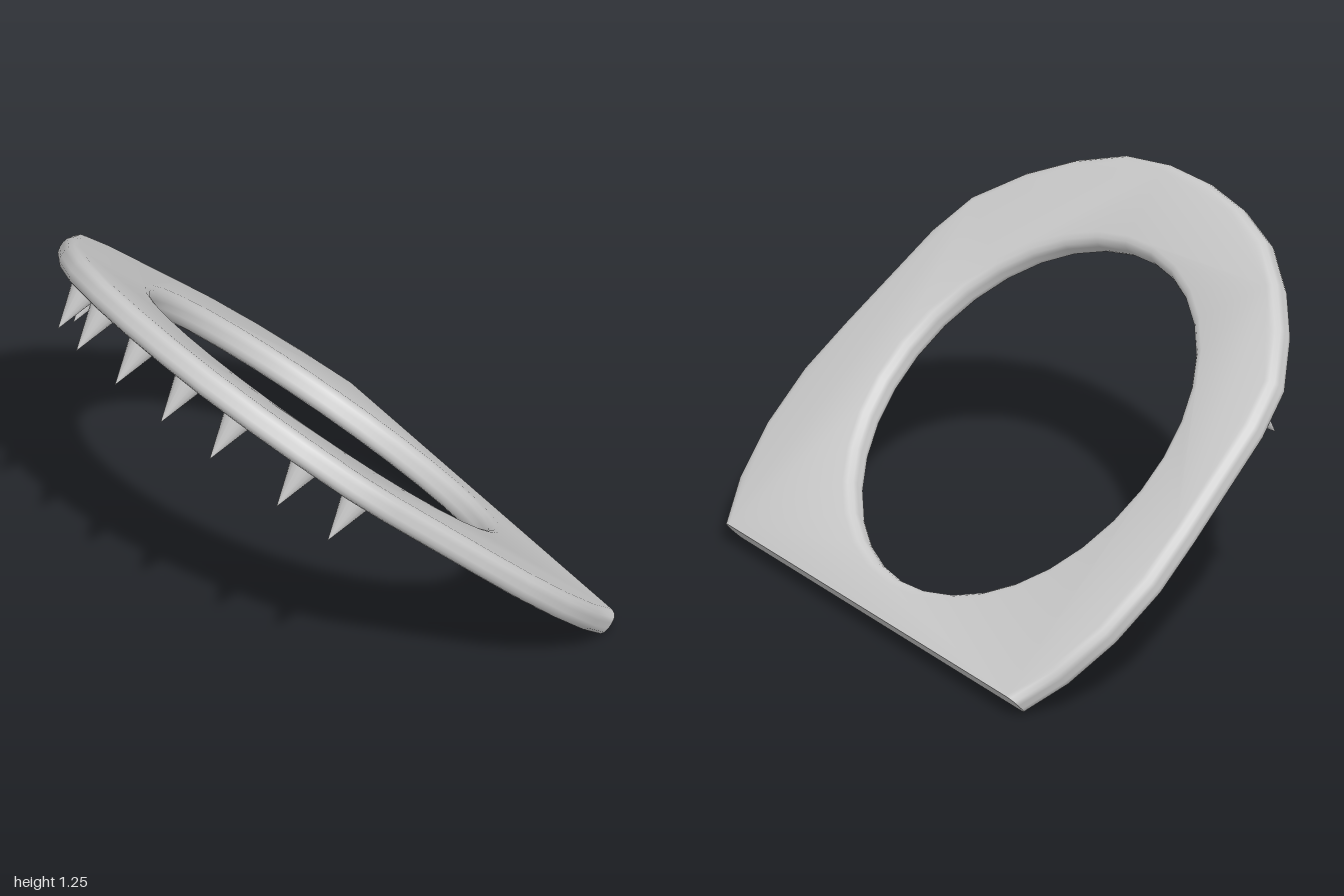
import * as THREE from 'three';
import { toCreasedNormals } from 'three/addons/utils/BufferGeometryUtils.js';

const TILT = 0.731; // slope of the plate, radians
const BEVEL = 0.036, THICKNESS = 0.092;

// Half outline of the plate: distance up the slope, half width
const HALF_OUTLINE = [
  [0, 0.835], [0.15, 0.92], [0.35, 0.98], [0.57, 1.0], [0.77, 0.98], [1.18, 0.925],
  [1.345, 0.87], [1.505, 0.73], [1.625, 0.58], [1.725, 0.4], [1.775, 0.2],
];

// Spikes: distance up the slope, sideways position
const SPIKES = [
  [1.201, 0.755], [1.367, 0.64], [1.534, 0.43], [1.626, 0.24], [1.658, 0],
  [1.655, -0.24], [1.555, -0.47], [1.403, -0.62], [1.243, -0.745],
];

function plateGeometry() {
  // The outline runs past the straight end, which is then cut flat
  const half = [[-0.15, HALF_OUTLINE[0][1]], ...HALF_OUTLINE];
  const mirrored = half.map(([s, z]) => [s, -z]).reverse();
  const outline = [...half, [1.79, 0], ...mirrored];
  const shape = new THREE.Shape(outline.map(([s, z]) => new THREE.Vector2(s, z)));
  const hole = new THREE.Path();
  hole.absarc(0.81, -0.007, 0.663, 0, Math.PI * 2);
  shape.holes.push(hole);

  const depth = THICKNESS - 2 * BEVEL;
  const geometry = new THREE.ExtrudeGeometry(shape, {
    depth, curveSegments: 16, bevelEnabled: true, bevelSegments: 3,
    bevelThickness: BEVEL, bevelSize: BEVEL, bevelOffset: -BEVEL,
  });
  geometry.translate(0, 0, -depth / 2);

  // Flat cut across the lower end
  const p = geometry.attributes.position;
  for (let i = 0; i < p.count; i++) p.setX(i, Math.max(0, p.getX(i)));
  return toCreasedNormals(geometry, 0.75);
}

export function createModel() {
  const model = new THREE.Group();
  model.name = 'spikedRingPlate';
  const material = new THREE.MeshStandardMaterial({ color: 0xcccccc });

  // Tilted frame: x up the slope, y sideways, z out of the upper face
  const tilted = new THREE.Group();
  tilted.name = 'tiltedPlate';
  const c = Math.cos(TILT), s = Math.sin(TILT);
  tilted.quaternion.setFromRotationMatrix(new THREE.Matrix4().makeBasis(
    new THREE.Vector3(-c, s, 0), new THREE.Vector3(0, 0, 1), new THREE.Vector3(s, c, 0)));
  tilted.position.set(0.675, 0.035, 0);
  model.add(tilted);

  const plate = new THREE.Mesh(plateGeometry(), material);
  plate.name = 'plate';
  tilted.add(plate);

  // Cones hanging from the underside around the curved end
  const tip = 0.21, root = 0.036;
  const cone = new THREE.ConeGeometry(0.056, tip - root, 16);
  cone.rotateX(-Math.PI / 2);
  cone.translate(0, 0, -(tip + root) / 2);
  for (const [along, side] of SPIKES) {
    const spike = new THREE.Mesh(cone, material);
    spike.name = 'spike';
    spike.position.set(along, side, 0);
    tilted.add(spike);
  }
  return model;
}
